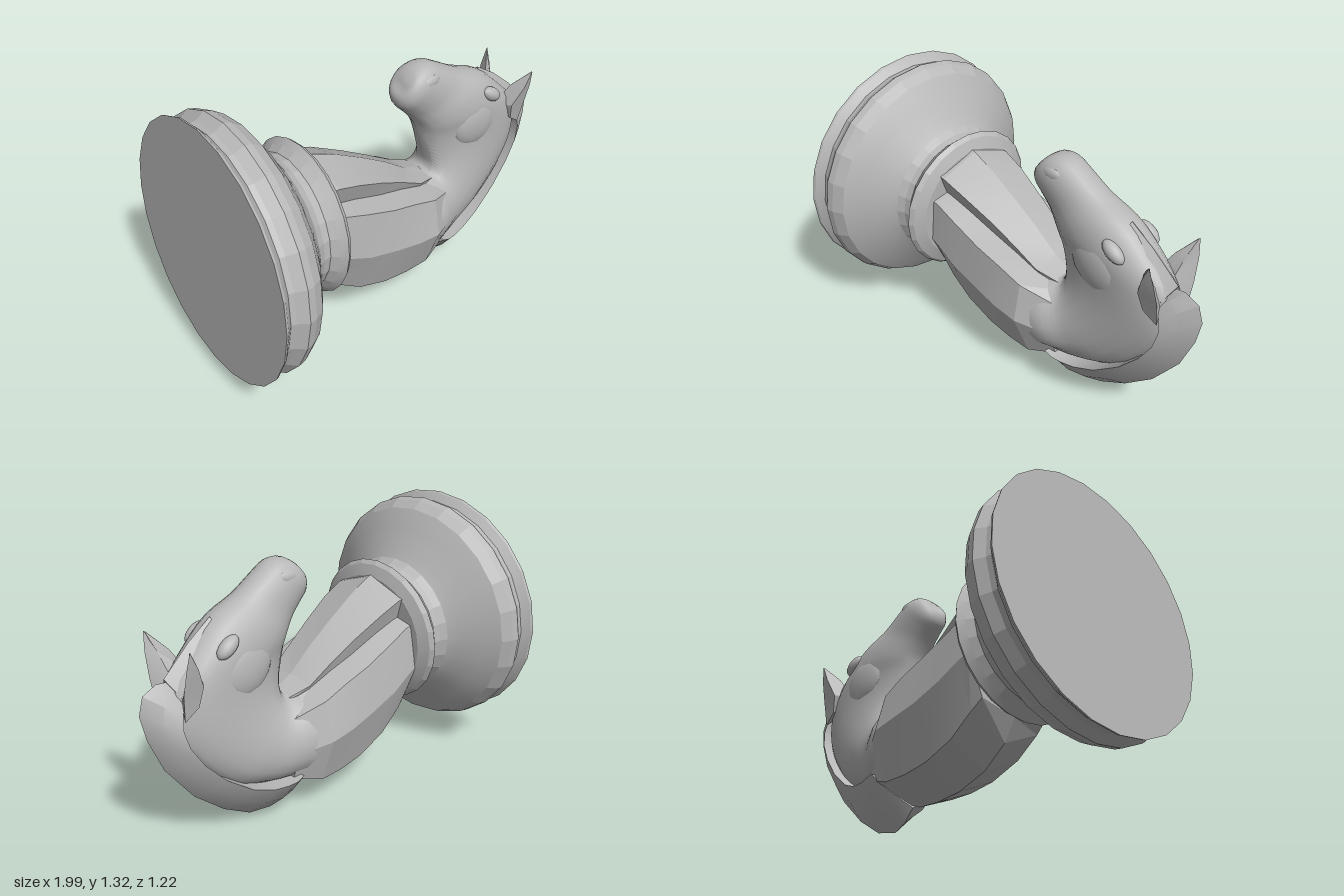
import * as THREE from 'three';
import { toCreasedNormals } from 'three/addons/utils/BufferGeometryUtils.js';

const V = (x, y, z = 0) => new THREE.Vector3(x, y, z);

// Skin a list of closed rings of points, with fan caps and outward faces
function loft(rings) {
  const n = rings[0].length, pos = [], idx = [];
  const centre = r => r.reduce((a, p) => a.add(p), V(0, 0)).divideScalar(n);
  const pts = [...rings.flat(), centre(rings[0]), centre(rings[rings.length - 1])];
  pts.forEach(p => pos.push(p.x, p.y, p.z));
  const c0 = rings.length * n, last = (rings.length - 1) * n;
  for (let j = 0; j < n; j++) {
    const k = (j + 1) % n;
    for (let i = 0; i < last; i += n) {
      idx.push(i + j, i + k, i + n + j, i + k, i + n + k, i + n + j);
    }
    idx.push(c0, k, j, c0 + 1, last + j, last + k);
  }
  let volume = 0;
  for (let i = 0; i < idx.length; i += 3) {
    volume += pts[idx[i]].dot(V(0, 0).crossVectors(pts[idx[i + 1]], pts[idx[i + 2]]));
  }
  if (volume < 0) idx.reverse();
  const g = new THREE.BufferGeometry();
  g.setAttribute('position', new THREE.Float32BufferAttribute(pos, 3));
  g.setIndex(idx);
  return g;
}

// Slight lean of the horse relative to the vertical plane
function lean(g) {
  const p = g.attributes.position;
  for (let i = 0; i < p.count; i++) {
    p.setZ(i, p.getZ(i) - 0.043 - 0.0235 * p.getX(i) + 0.0387 * p.getY(i));
  }
  return g;
}

export function createModel() {
  const group = new THREE.Group();
  const grey = new THREE.MeshStandardMaterial({ color: 0xb8b8b8 });
  grey.name = 'stone grey';

  const add = (name, geometry, crease) => {
    const mesh = new THREE.Mesh(toCreasedNormals(geometry, crease), grey);
    mesh.name = name;
    group.add(mesh);
    return mesh;
  };

  // Turned base, lying on its side
  const profile = [[0, 0], [0.61, 0], [0.605, 0.012], [0.57, 0.045], [0.575, 0.07], [0.603, 0.115],
    [0.595, 0.15], [0.565, 0.2], [0.488, 0.253], [0.39, 0.31], [0.345, 0.345], [0.325, 0.38], [0.32, 0.415],
    [0.345, 0.445], [0.372, 0.475], [0.355, 0.497], [0.3, 0.52], [0, 0.52]];
  const base = add('base', new THREE.LatheGeometry(profile.map(p => new THREE.Vector2(...p)), 24), 0.2);
  base.rotation.z = -Math.PI / 2 - 0.066;
  base.position.set(-0.955, 0.72, 0);

  // Torso: x, chest centre y, then half outline as z,y pairs, then belly y
  const torso = [
    [-0.46, 1.0, [0.2, 0.92], [0.17, 0.82], [0.25, 0.8], [0.27, 0.58], [0.19, 0.39], 0.35],
    [-0.4, 0.99, [0.2, 0.915], [0.165, 0.81], [0.25, 0.79], [0.275, 0.56], [0.2, 0.34], 0.25],
    [-0.28, 0.935, [0.19, 0.87], [0.155, 0.77], [0.25, 0.74], [0.28, 0.5], [0.2, 0.25], 0.155],
    [-0.12, 0.84, [0.165, 0.79], [0.135, 0.7], [0.25, 0.68], [0.28, 0.45], [0.2, 0.19], 0.1],
    [0.02, 0.75, [0.145, 0.71], [0.13, 0.66], [0.245, 0.64], [0.285, 0.42], [0.2, 0.17], 0.085],
    [0.15, 0.65, [0.13, 0.63], [0.12, 0.61], [0.235, 0.59], [0.28, 0.4], [0.2, 0.17], 0.09],
    [0.3, 0.59, [0.08, 0.58], [0.08, 0.56], [0.16, 0.52], [0.2, 0.36], [0.16, 0.22], 0.15],
  ];
  add('torso', lean(loft(torso.map(([x, top, ...rest]) => {
    const belly = rest.pop();
    return [V(x, top, 0), ...rest.map(([z, y]) => V(x, y, z)), V(x, belly, 0),
      ...rest.slice().reverse().map(([z, y]) => V(x, y, -z))];
  }))), 0.25);

  // Neck and head: throat x,y, crest x,y and half width, swept from chest to muzzle
  const sections = [
    [0.1, 0.62, 0.15, 0.16, 0.25], [0.22, 0.61, 0.28, 0.19, 0.235], [0.26, 0.62, 0.42, 0.2, 0.19],
    [0.27, 0.65, 0.6, 0.27, 0.165], [0.26, 0.7, 0.78, 0.44, 0.145], [0.24, 0.76, 0.87, 0.62, 0.135],
    [0.22, 0.83, 0.85, 0.8, 0.135], [0.205, 0.88, 0.73, 0.94, 0.14], [0.19, 0.91, 0.6, 1.05, 0.13],
    [0.155, 0.96, 0.45, 1.115, 0.11], [0.11, 1.01, 0.33, 1.185, 0.105], [0.075, 1.05, 0.25, 1.225, 0.1],
    [0.07, 1.1, 0.17, 1.22, 0.075], [0.1, 1.14, 0.12, 1.18, 0.03],
  ];
  const throat = new THREE.CatmullRomCurve3(sections.map(s => V(s[0], s[1], 0)));
  const crest = new THREE.CatmullRomCurve3(sections.map(s => V(s[2], s[3], s[4])));
  const rings = [];
  for (let i = 0; i <= 39; i++) {
    const a = throat.getPoint(i / 39), b = crest.getPoint(i / 39), ring = [];
    for (let j = 0; j < 20; j++) {
      const t = j / 20 * Math.PI * 2, s = Math.sin(t), k = (1 - Math.cos(t)) / 2;
      ring.push(V(a.x + (b.x - a.x) * k, a.y + (b.y - a.y) * k, b.z * Math.sign(s) * Math.abs(s) ** 0.85));
    }
    rings.push(ring);
  }
  add('neckAndHead', lean(loft(rings)), 0.6);

  // Mane: a sharp keel, inner edge x,y, ridge x,y, half width
  const mane = [
    [0.27, 0.24, 0.2, 0.1, 0.2], [0.31, 0.225, 0.25, 0.04, 0.2], [0.36, 0.22, 0.32, 0.004, 0.19],
    [0.43, 0.225, 0.45, 0.03, 0.175], [0.54, 0.265, 0.6, 0.12, 0.155], [0.67, 0.36, 0.76, 0.26, 0.135],
    [0.77, 0.47, 0.9, 0.45, 0.12], [0.83, 0.57, 0.97, 0.62, 0.11], [0.85, 0.65, 0.995, 0.74, 0.1],
    [0.84, 0.72, 0.97, 0.82, 0.09], [0.81, 0.76, 0.9, 0.85, 0.07], [0.78, 0.78, 0.83, 0.84, 0.04],
  ];
  add('mane', lean(loft(mane.map(([ix, iy, ox, oy, w]) => {
    const mx = (ix + ox) / 2, my = (iy + oy) / 2;
    return [V(ix, iy, w), V(mx, my, w * 0.62), V(ox, oy, 0), V(mx, my, -w * 0.62), V(ix, iy, -w)];
  }))), 0.45);

  // Forelock along the brow
  add('forelock', lean(loft([
    [V(0.59, 1.0, 0.06), V(0.6, 1.06, 0), V(0.59, 1.0, -0.06)],
    [V(0.7, 0.9, 0.08), V(0.72, 0.98, 0), V(0.7, 0.9, -0.08)],
    [V(0.82, 0.78, 0.07), V(0.86, 0.86, 0), V(0.82, 0.78, -0.07)],
  ])), 0.3);

  // Paired details
  for (const [side, s] of [['left', 1], ['right', -1]]) {
    // Pointed ear
    const earRings = [
      [[0.73, 0.77, 0.05], [0.77, 0.74, 0.11], [0.84, 0.69, 0.1], [0.81, 0.75, 0.04]],
      [[0.7, 0.83, 0.05], [0.75, 0.83, 0.125], [0.85, 0.82, 0.12], [0.79, 0.84, 0.06]],
      [[0.76, 0.935, 0.09], [0.79, 0.93, 0.155], [0.845, 0.93, 0.145], [0.805, 0.93, 0.11]],
      [[0.825, 1.012, 0.155], [0.828, 1.012, 0.16], [0.832, 1.015, 0.16], [0.83, 1.015, 0.155]],
    ];
    add(side + 'Ear', lean(loft(earRings.map(r => r.map(([x, y, z]) => V(x, y, z * s))))), 0.4);

    // Eye and nostril swellings: x, y, z, radii, tilt
    for (const [name, x, y, z, rx, ry, rz, tilt] of [
      ['Eye', 0.6, 0.955, 0.11, 0.065, 0.035, 0.035, -0.6],
      ['Nostril', 0.21, 1.155, 0.075, 0.06, 0.035, 0.025, 0.1],
      ['Cheek', 0.5, 0.83, 0.1, 0.15, 0.13, 0.05, -0.7],
    ]) {
      const g = new THREE.SphereGeometry(1, 14, 10).scale(rx, ry, rz).rotateZ(tilt).translate(x, y, z * s);
      add(side + name, lean(g), 0.7);
    }
  }
  return group;
}
